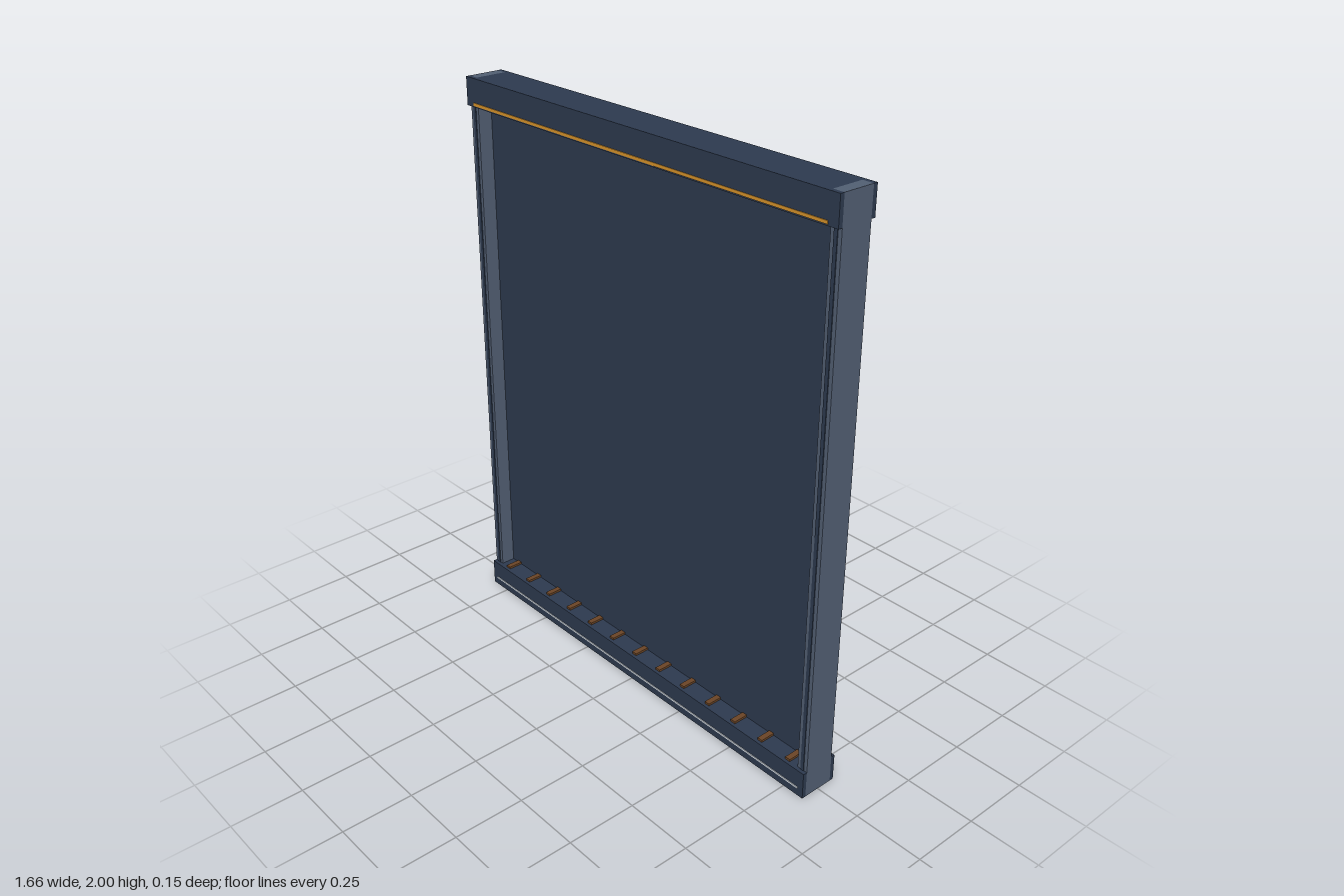
import * as THREE from 'three';

const material = (name, color) => {
  const m = new THREE.MeshStandardMaterial({ color });
  m.name = name;
  return m;
};

export function createModel() {
  const model = new THREE.Group();
  model.name = 'framedPanel';
  const navy = material('dark navy', 0x2d3a4f);
  const slate = material('slate grey', 0x525f73);
  const amber = material('amber', 0xd9942b);
  const pale = material('pale grey', 0xd5dce3);
  const brown = material('brown', 0x6b4526);

  const box = (name, mat, w, h, d, x, y, z) => {
    const mesh = new THREE.Mesh(new THREE.BoxGeometry(w, h, d), mat);
    mesh.name = name;
    mesh.position.set(x, y, z);
    model.add(mesh);
    return mesh;
  };

  const halfW = 0.832, postW = 0.04, postD = 0.114, beamD = 0.144, beamH = 0.097;
  const innerW = 2 * (halfW - postW);
  const lip = (beamD - postD) / 2;

  // Thin centre panel
  box('panel', navy, innerW, 2 - 2 * beamH, 0.01, 0, 1, 0);

  // Side posts, each with a dark groove line on the front
  for (const side of [-1, 1]) {
    const x = side * (halfW - postW / 2);
    box('post', slate, postW, 2, postD, x, 1, 0);
    box('postGroove', navy, 0.013, 2 - 2 * beamH, 0.003, x, 1, postD / 2 + 0.001);
  }

  // Top and bottom beams: a core between the posts and lips that wrap over them
  for (const [name, y] of [['topBeam', 2 - beamH / 2], ['bottomBeam', beamH / 2]]) {
    box(name, navy, innerW, beamH, postD, 0, y, 0);
    for (const side of [-1, 1]) {
      box(name + 'Lip', navy, 2 * halfW, beamH, lip, 0, y, side * (postD + lip) / 2);
    }
  }

  // Painted lines on the front of the beams
  box('amberLine', amber, 1.59, 0.01, 0.003, 0, 1.913, beamD / 2 + 0.001);
  box('paleLine', pale, 1.62, 0.006, 0.003, 0, 0.031, beamD / 2 + 0.001);

  // Row of slats across the sill
  for (let i = -6; i <= 6; i++) {
    box('sillSlat', brown, 0.02, 0.008, 0.12, i * 0.125, beamH + 0.004, 0);
  }

  return model;
}
